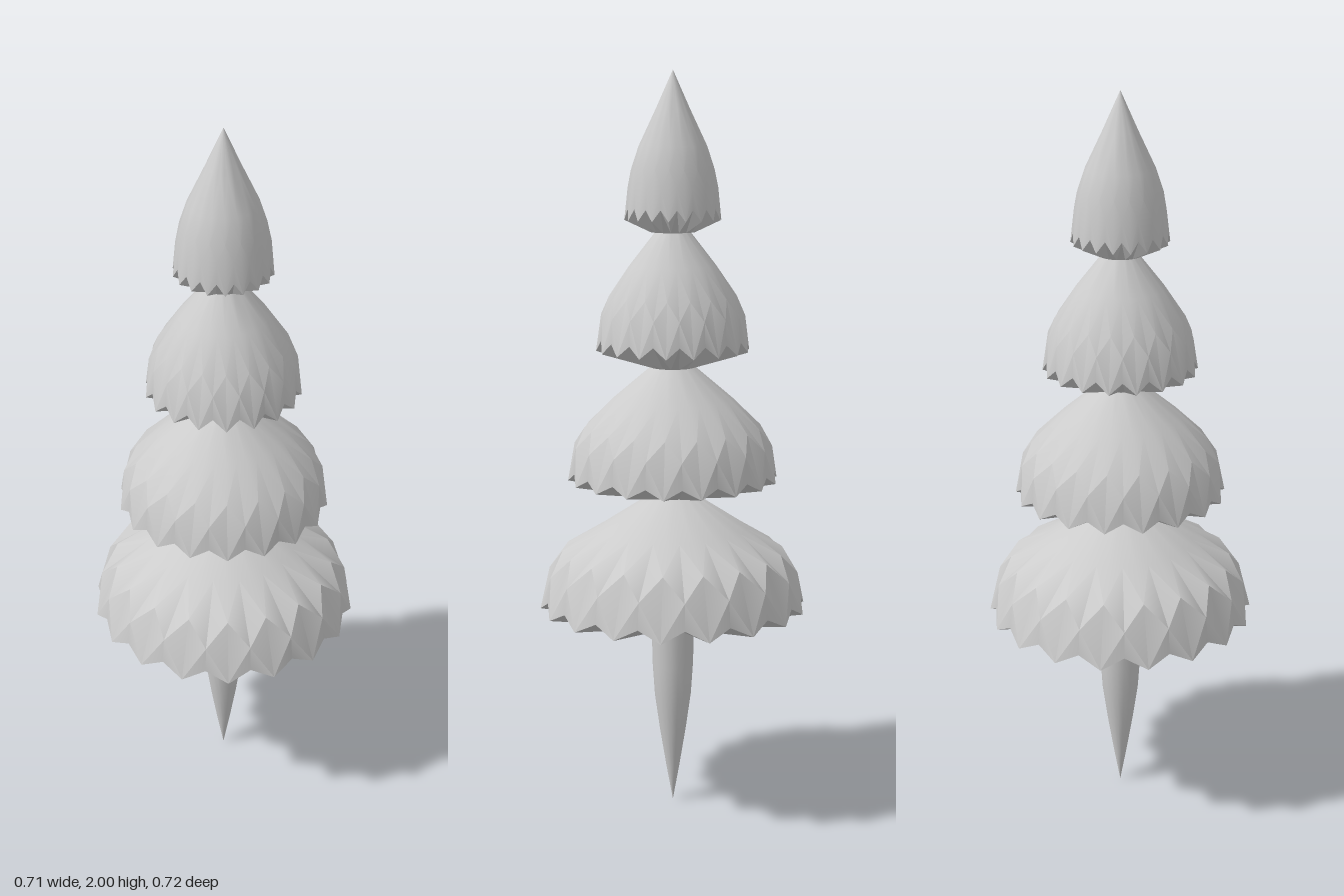
import * as THREE from 'three';
import { toCreasedNormals } from 'three/addons/utils/BufferGeometryUtils.js';

const TIPS = 18; // needle tips around each tier
const SEGMENTS = TIPS * 2;

// Skin rings listed from top to bottom. Each ring is [r, y] or, for a zigzag,
// [r, y, r2, y2] with the second pair used between the tips.
function skin(rings) {
  const pos = [];
  const point = (ring, i) => {
    const odd = i % 2 === 1 && ring.length === 4;
    const r = odd ? ring[2] : ring[0];
    const a = ((i % SEGMENTS) / SEGMENTS) * Math.PI * 2;
    return [r * Math.sin(a), odd ? ring[3] : ring[1], r * Math.cos(a)];
  };
  for (let k = 0; k < rings.length - 1; k++) {
    const top = rings[k], low = rings[k + 1];
    for (let i = 0; i < SEGMENTS; i++) {
      const a = point(top, i), b = point(low, i);
      const c = point(low, i + 1), d = point(top, i + 1);
      // mirror the diagonal so both sides of each tip match
      const tris = i % 2 === 0 ? [[a, b, d], [b, c, d]] : [[a, b, c], [a, c, d]];
      if (top[0] === 0) pos.push(...a, ...b, ...c);
      else if (low[0] === 0) pos.push(...a, ...b, ...d);
      else for (const t of tris) pos.push(...t.flat());
    }
  }
  const geo = new THREE.BufferGeometry();
  geo.setAttribute('position', new THREE.Float32BufferAttribute(pos, 3));
  return toCreasedNormals(geo, 0.5);
}

// Rings of every tier: neck, dome, zigzag shoulder, zigzag rim, underside
const tiers = {
  bottomTier: [[0, 0.88], [0.07, 0.87], [0.2, 0.785], [0.3, 0.725, 0.34, 0.665],
    [0.362, 0.565, 0.348, 0.595], [0.06, 0.51], [0, 0.51]],
  lowerMiddleTier: [[0, 1.235], [0.06, 1.225], [0.16, 1.14], [0.237, 1.065, 0.267, 1.015],
    [0.283, 0.92, 0.272, 0.945], [0.065, 0.875], [0, 0.875]],
  upperMiddleTier: [[0, 1.595], [0.045, 1.585], [0.115, 1.495], [0.17, 1.415, 0.192, 1.365],
    [0.205, 1.27, 0.196, 1.3], [0.06, 1.225], [0, 1.225]],
  topTier: [[0, 2], [0.045, 1.9], [0.09, 1.805], [0.11, 1.745, 0.119, 1.7],
    [0.128, 1.615, 0.122, 1.645], [0.06, 1.583], [0, 1.583]],
};

export function createModel() {
  const tree = new THREE.Group();
  tree.name = 'tree';
  const material = new THREE.MeshStandardMaterial({ color: 0xcccccc });

  for (const [name, rings] of Object.entries(tiers)) {
    const tier = new THREE.Mesh(skin(rings), material);
    tier.name = name;
    tree.add(tier);
  }

  // Trunk tapering to a spike
  const profile = [[0, 0], [0.018, 0.1], [0.036, 0.21], [0.05, 0.31], [0.056, 0.4], [0.059, 0.53]]
    .map(([r, y]) => new THREE.Vector2(r, y));
  const trunk = new THREE.Mesh(new THREE.LatheGeometry(profile, TIPS), material);
  trunk.name = 'trunk';
  tree.add(trunk);

  return tree;
}
